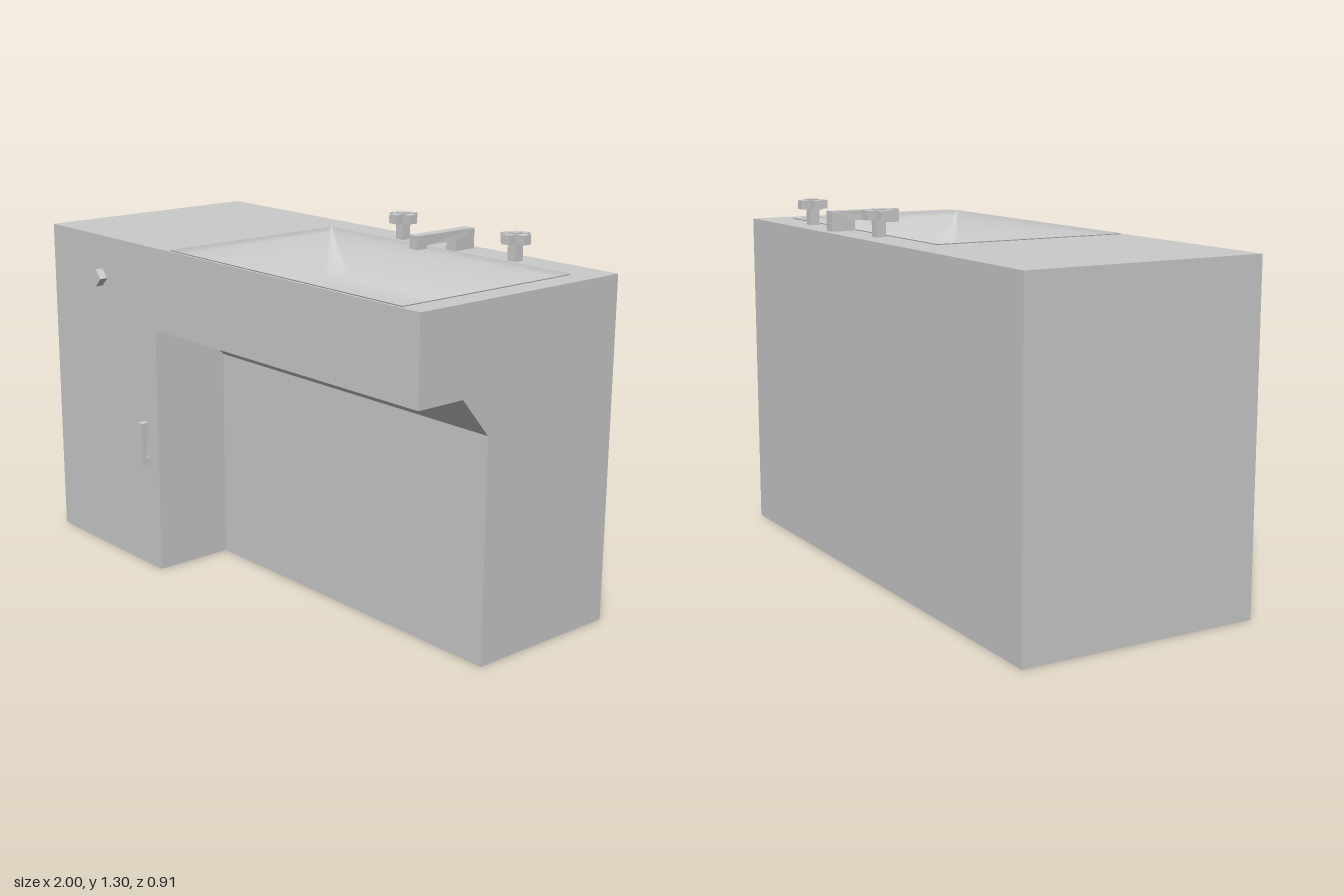
import * as THREE from 'three';

const TOP = 1.2, FRONT = 0.425, BACK = -0.455, SPLIT = -0.34;
const material = new THREE.MeshStandardMaterial({ color: 0xcccccc });
const smoothMaterial = new THREE.MeshStandardMaterial({ color: 0xcccccc, side: THREE.DoubleSide });

function add(parent, name, geometry, mat = material) {
  const mesh = new THREE.Mesh(geometry, mat);
  mesh.name = name;
  parent.add(mesh);
  return mesh;
}

function box(parent, name, [x0, x1], [y0, y1], [z0, z1]) {
  const mesh = add(parent, name, new THREE.BoxGeometry(x1 - x0, y1 - y0, z1 - z0));
  mesh.position.set((x0 + x1) / 2, (y0 + y1) / 2, (z0 + z1) / 2);
  return mesh;
}

const toShape = (points) => new THREE.Shape(points.map(([a, b]) => new THREE.Vector2(a, b)));

// Flat panel across x, outlined in (z, y), facing +x (dir 1) or -x (dir -1)
function sidePanel(parent, name, points, x, dir) {
  const geometry = new THREE.ShapeGeometry(toShape(points.map(([z, y]) => [-dir * z, y])));
  geometry.rotateY(dir * Math.PI / 2);
  add(parent, name, geometry).position.x = x;
}

// Panels running along x that follow an open (z, y) profile
function strips(parent, name, points, x0, x1) {
  const positions = [];
  for (let i = 0; i < points.length - 1; i++) {
    const [az, ay] = points[i], [bz, by] = points[i + 1];
    positions.push(x0, ay, az, x0, by, bz, x1, by, bz, x0, ay, az, x1, by, bz, x1, ay, az);
  }
  const geometry = new THREE.BufferGeometry();
  geometry.setAttribute('position', new THREE.Float32BufferAttribute(positions, 3));
  geometry.computeVertexNormals();
  add(parent, name, geometry);
}

// Basin skin: rounded rectangles shrinking from the rim down to the floor
function basinGeometry(x0, x1, z0, z1) {
  // each ring: inset x, inset back, inset front, corner radius, height
  const rings = [
    [0, 0, 0, 0.004, 1.203], [0.005, 0.005, 0.008, 0.01, 1.185],
    [0.06, 0.04, 0.05, 0.03, 1.14], [0.13, 0.085, 0.11, 0.06, 1.09],
    [0.19, 0.125, 0.16, 0.08, 1.062], [0.26, 0.165, 0.2, 0.09, 1.05],
    [0.36, 0.24, 0.27, 0.08, 1.046],
  ];
  const steps = 6, count = 4 * (steps + 1), positions = [], index = [];
  rings.forEach(([ix, ib, iff, r, y], k) => {
    const l = x0 + ix + r, rt = x1 - ix - r, b = z0 + ib + r, f = z1 - iff - r;
    [[rt, f], [l, f], [l, b], [rt, b]].forEach(([cx, cz], c) => {
      for (let s = 0; s <= steps; s++) {
        const a = (c + s / steps) * Math.PI / 2;
        positions.push(cx + r * Math.cos(a), y, cz + r * Math.sin(a));
      }
    });
    if (k === 0) return;
    for (let i = 0; i < count; i++) {
      const j = (i + 1) % count, p = (k - 1) * count, q = k * count;
      index.push(p + i, q + i, p + j, p + j, q + i, q + j);
    }
  });
  // floor cap
  const last = (rings.length - 1) * count, centre = positions.length / 3;
  positions.push((x0 + x1) / 2, 1.045, (z0 + z1) / 2 + 0.01);
  for (let i = 0; i < count; i++) index.push(last + i, centre, last + (i + 1) % count);
  const geometry = new THREE.BufferGeometry();
  geometry.setAttribute('position', new THREE.Float32BufferAttribute(positions, 3));
  geometry.setIndex(index);
  geometry.computeVertexNormals();
  return geometry;
}

function extrudeX(points, x0, x1) {
  const geometry = new THREE.ExtrudeGeometry(toShape(points.map(([z, y]) => [-z, y])),
    { depth: x1 - x0, bevelEnabled: false });
  return geometry.rotateY(Math.PI / 2).translate(x0, 0, 0);
}

export function createModel() {
  const model = new THREE.Group();
  model.name = 'washstand';

  // Cabinet shell with a knee recess under the basin
  const cabinet = new THREE.Group();
  cabinet.name = 'cabinet';
  model.add(cabinet);
  const full = [[FRONT, TOP], [FRONT, 0], [BACK, 0], [BACK, TOP]];
  const recess = [[FRONT, 0.905], [0.24, 0.905], [0.127, 0.77], [0.127, 0]];
  const cut = [[FRONT, TOP], ...recess, [BACK, 0], [BACK, TOP]];
  strips(cabinet, 'cupboardShell', full, -1, SPLIT);
  strips(cabinet, 'recessedShell', cut, SPLIT, 1);
  sidePanel(cabinet, 'rightSide', full, -1, -1);
  sidePanel(cabinet, 'leftSide', cut, 1, 1);
  sidePanel(cabinet, 'recessSide', [...recess, [FRONT, 0]], SPLIT, 1);

  // Countertop with the basin opening
  const [bx0, bx1, bz0, bz1] = [-0.255, 0.915, -0.325, 0.415];
  const rect = (x0, x1, z0, z1) => [[x0, -z1], [x1, -z1], [x1, -z0], [x0, -z0]];
  const counter = toShape(rect(-1, 1, BACK, FRONT));
  counter.holes.push(toShape(rect(bx0, bx1, bz0, bz1)));
  add(cabinet, 'countertop', new THREE.ShapeGeometry(counter).rotateX(-Math.PI / 2)).position.y = TOP;
  add(model, 'basin', basinGeometry(bx0, bx1, bz0, bz1), smoothMaterial);

  // Spout, slightly narrower toward its tip
  const spout = extrudeX([[-0.425, TOP], [-0.335, TOP], [-0.335, 1.237], [-0.2, 1.237],
    [-0.2, 1.224], [-0.155, 1.224], [-0.155, 1.272], [-0.425, 1.272]], -0.023, 0.023);
  const p = spout.attributes.position;
  for (let i = 0; i < p.count; i++) {
    if (p.getZ(i) > -0.3) p.setX(i, p.getX(i) * 0.85);
  }
  spout.computeVertexNormals();
  add(model, 'spout', spout).position.x = 0.363;

  // Cross-shaped taps
  for (const x of [0.09, 0.635]) {
    const tap = new THREE.Group();
    tap.name = 'tap';
    tap.position.set(x, 0, -0.365);
    model.add(tap);
    const w = 0.018, l = 0.052;
    box(tap, 'tapStem', [-w, w], [TOP, 1.262], [-w, w]);
    const cross = toShape([[w, w], [w, l], [-w, l], [-w, w], [-l, w], [-l, -w],
      [-w, -w], [-w, -l], [w, -l], [w, -w], [l, -w], [l, w]]);
    const handle = new THREE.ExtrudeGeometry(cross, { depth: 0.032, bevelEnabled: false });
    add(tap, 'tapHandle', handle.rotateX(-Math.PI / 2)).position.y = 1.26;
    box(tap, 'tapCap', [-w, w], [1.29, 1.297], [-w, w]);
  }

  // Diamond drawer knob
  const knob = add(model, 'drawerKnob', new THREE.BoxGeometry(0.045, 0.045, 0.03));
  knob.position.set(-0.672, 1.046, FRONT + 0.015);
  knob.rotation.z = Math.PI / 4;

  // Door pull
  add(model, 'doorPull', extrudeX([[FRONT, 0.39], [0.455, 0.39], [0.455, 0.55], [FRONT, 0.55],
    [FRONT, 0.497], [0.433, 0.492], [0.438, 0.418], [FRONT, 0.418]], -0.428, -0.4));

  return model;
}
